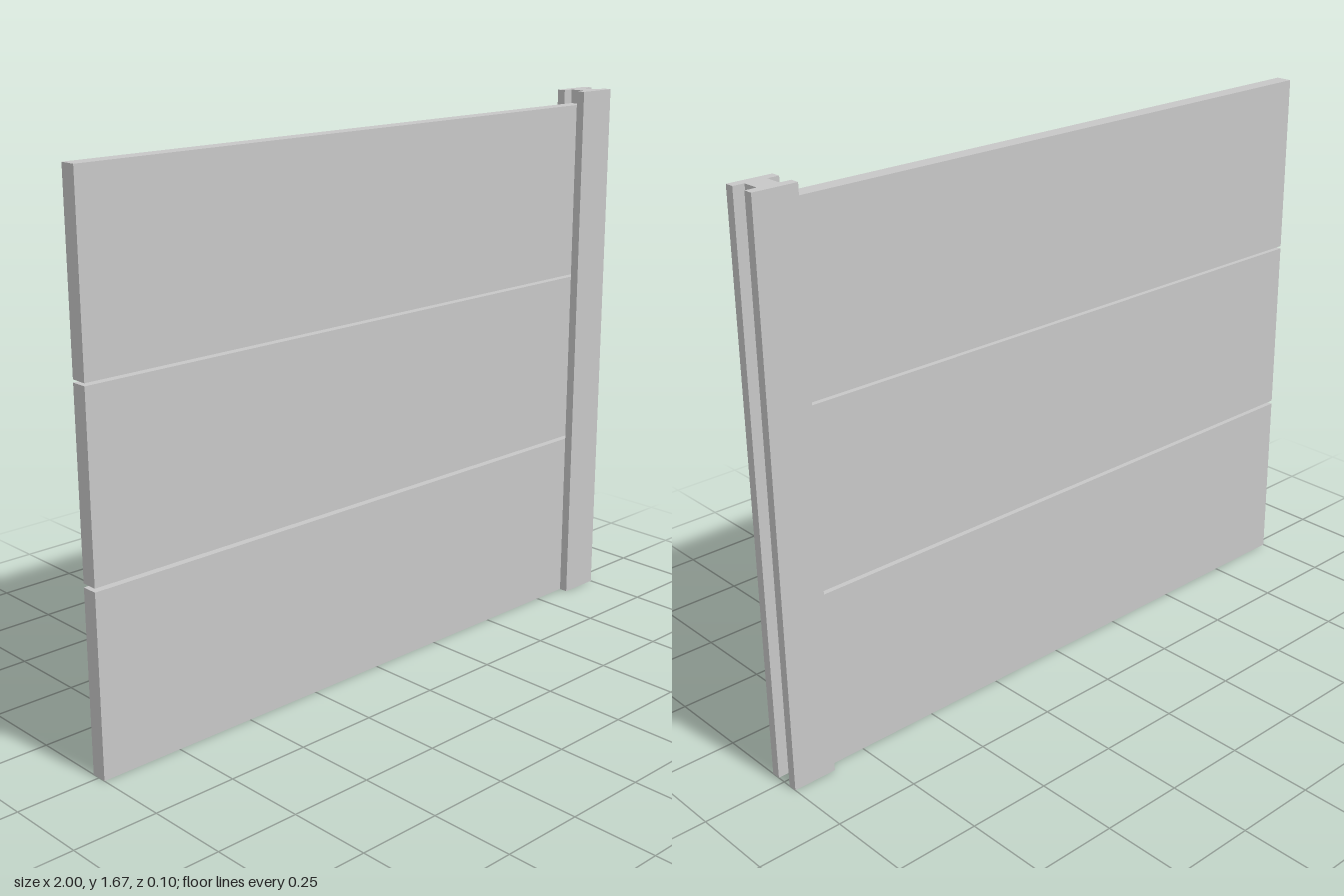
import * as THREE from 'three';

export function createModel() {
  const group = new THREE.Group();
  const concrete = new THREE.MeshStandardMaterial({ color: 0xc7c7c7 });
  concrete.name = 'concrete grey';

  // Three stacked panels (bottom and top heights), slotted into the post, with narrow gaps between
  const left = -1, slot = 0.901;
  [[0, 0.535], [0.546, 1.08], [1.088, 1.625]].forEach(([bottom, top], i) => {
    const panel = new THREE.Mesh(new THREE.BoxGeometry(slot - left, top - bottom, 0.049), concrete);
    panel.name = `panel${i + 1}`;
    panel.position.set((left + slot) / 2, (bottom + top) / 2, 0);
    group.add(panel);
  });

  // H-section post: its profile lies in plan and is extruded upwards
  const a = 0.868, b = 0.902, c = 0.966, d = 1, inner = 0.025, outer = 0.052;
  const profile = new THREE.Shape([
    [a, -outer], [d, -outer], [d, -inner], [c, -inner], [c, inner], [d, inner],
    [d, outer], [a, outer], [a, inner], [b, inner], [b, -inner], [a, -inner],
  ].map(([x, z]) => new THREE.Vector2(x, z)));
  const postGeometry = new THREE.ExtrudeGeometry(profile, { depth: 1.667, bevelEnabled: false });
  postGeometry.rotateX(-Math.PI / 2);
  const post = new THREE.Mesh(postGeometry, concrete);
  post.name = 'post';
  group.add(post);

  return group;
}
